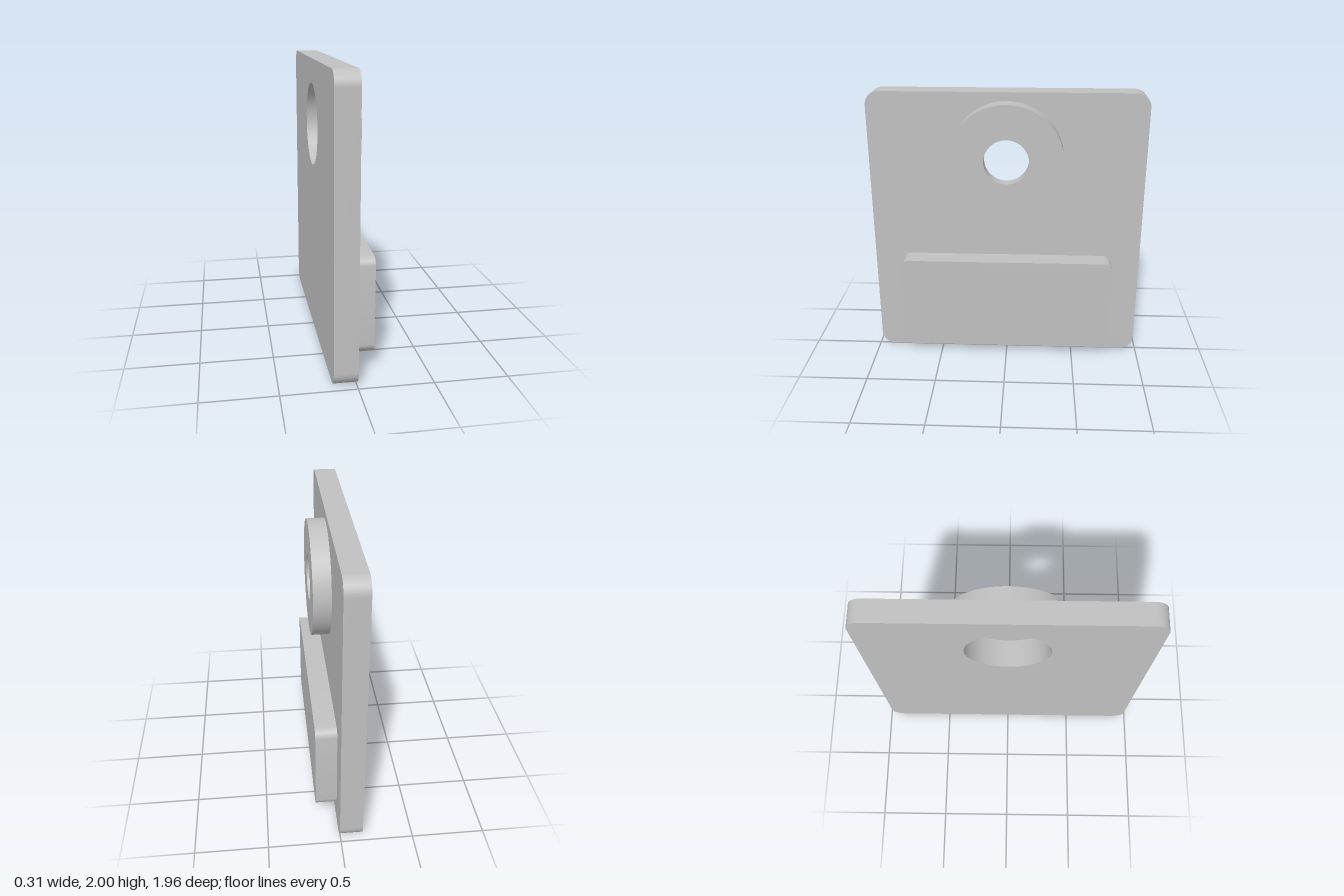
import * as THREE from 'three';
import { toCreasedNormals } from 'three/addons/utils/BufferGeometryUtils.js';

const CREASE = 0.6;
const BOSS_Y = 1.54;

// Rounded rectangle centred on (0, cy); shape x becomes -z after turning
function roundedRect(w, h, r, cy) {
  const s = new THREE.Shape();
  const x = w / 2 - r, y = h / 2 - r;
  s.absarc(x, cy - y, r, -Math.PI / 2, 0);
  s.absarc(x, cy + y, r, 0, Math.PI / 2);
  s.absarc(-x, cy + y, r, Math.PI / 2, Math.PI);
  s.absarc(-x, cy - y, r, Math.PI, Math.PI * 1.5);
  s.closePath();
  return s;
}

// Extrude a side-on shape along x from x0 to x1
function slab(name, shape, x0, x1, material) {
  const geo = new THREE.ExtrudeGeometry(shape, { depth: x1 - x0, bevelEnabled: false, curveSegments: 32 });
  geo.rotateY(Math.PI / 2);
  geo.translate(x0, 0, 0);
  const mesh = new THREE.Mesh(toCreasedNormals(geo, CREASE), material);
  mesh.name = name;
  return mesh;
}

export function createModel() {
  const model = new THREE.Group();
  model.name = 'mountingPlate';
  const grey = new THREE.MeshStandardMaterial({ color: 0xc0c0c0 });
  grey.name = 'grey';

  // Base plate with the wide bore
  const plateShape = roundedRect(1.96, 2, 0.1, 1);
  const bore = new THREE.Path();
  bore.absarc(0, BOSS_Y, 0.29, 0, Math.PI * 2, true);
  plateShape.holes.push(bore);
  model.add(slab('plate', plateShape, -0.153, 0.006, grey));

  // Raised bar across the lower part
  model.add(slab('bar', roundedRect(1.545, 0.665, 0.06, 0.458), 0.006, 0.153, grey));

  // Round boss: the wide bore continues inside it, then steps to a small hole
  const profile = [
    [0.29, 0.006], [0.4, 0.006], [0.4, 0.128], [0.158, 0.128],
    [0.158, 0.042], [0.29, 0.042], [0.29, 0.006],
  ].map(([r, x]) => new THREE.Vector2(r, x));
  const bossGeo = new THREE.LatheGeometry(profile, 96);
  bossGeo.rotateZ(-Math.PI / 2);
  bossGeo.translate(0, BOSS_Y, 0);
  const boss = new THREE.Mesh(toCreasedNormals(bossGeo, CREASE), grey);
  boss.name = 'boss';
  model.add(boss);

  return model;
}
